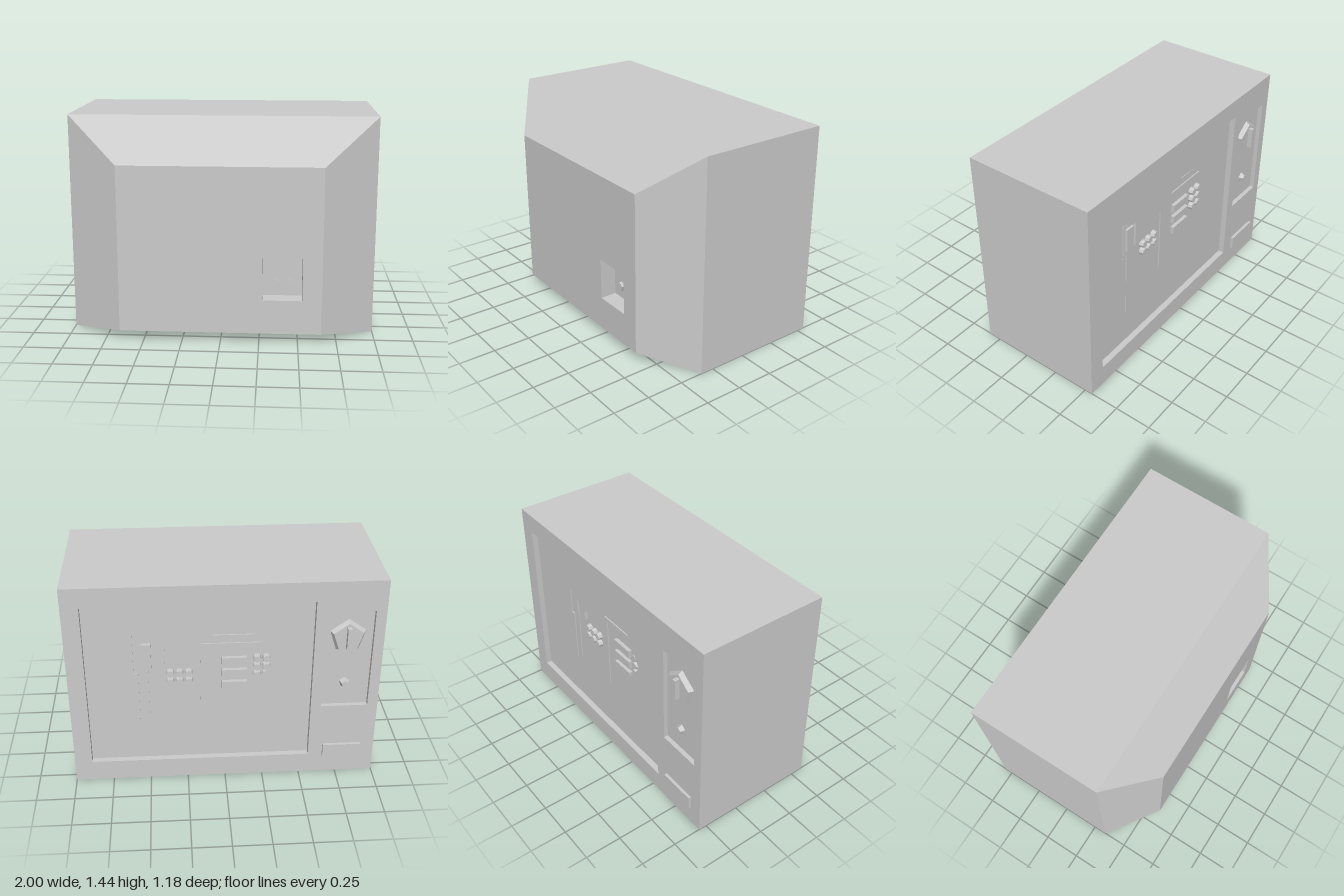
import * as THREE from 'three';

const mat = new THREE.MeshStandardMaterial({ color: 0xcccccc, flatShading: true });
const sheetMat = new THREE.MeshStandardMaterial({ color: 0xcccccc, flatShading: true, side: THREE.DoubleSide });

// Key depths, from the control side (-z) to the far side (+z)
const BACK = -0.555, MID = 0.34, FRONT = 0.59;
const GLASS = BACK + 0.04, BOARD = BACK + 0.1, PANEL = BACK + 0.03, SOCKET = FRONT - 0.11;

// Rectangles as [x0, x1, y0, y1]
const OUTER = [-1, 1, 0, 1.44];
const SMALL = [-0.655, 0.65, 0.065, 1.155];
const SCREEN = [-0.56, 0.887, 0.145, 1.307];
const CONTROLS = [-0.933, -0.628, 0.532, 1.233];
const JACKS = [0.27, 0.525, 0.29, 0.57];

const corners = ([x0, x1, y0, y1]) => [[x0, y0], [x1, y0], [x1, y1], [x0, y1]];

function add(parent, name, geometry, material = mat) {
  const mesh = new THREE.Mesh(geometry, material);
  mesh.name = name;
  parent.add(mesh);
  return mesh;
}

// Four walls joining rectangle a at depth za to rectangle b at depth zb
function bridge(a, za, b, zb) {
  const A = corners(a), B = corners(b), pos = [];
  for (let i = 0; i < 4; i++) {
    const j = (i + 1) % 4;
    const [p, q, r, s] = [[...A[i], za], [...A[j], za], [...B[j], zb], [...B[i], zb]];
    pos.push(...p, ...q, ...r, ...p, ...r, ...s);
  }
  const g = new THREE.BufferGeometry();
  g.setAttribute('position', new THREE.Float32BufferAttribute(pos, 3));
  g.computeVertexNormals();
  return g;
}

// Flat sheet with cut-outs, given as lists of [x, y] points
function sheet(outline, holes, z) {
  const toPoints = (list) => list.map(([x, y]) => new THREE.Vector2(x, y));
  const shape = new THREE.Shape(toPoints(outline));
  for (const h of holes) shape.holes.push(new THREE.Path(toPoints(h)));
  return new THREE.ShapeGeometry(shape).translate(0, 0, z);
}

function box(parent, name, [x0, x1, y0, y1], z0, z1) {
  const g = new THREE.BoxGeometry(x1 - x0, y1 - y0, z1 - z0);
  add(parent, name, g.translate((x0 + x1) / 2, (y0 + y1) / 2, (z0 + z1) / 2));
}

// Few-sided peg standing on z0 and ending at z1, one corner pointing up
function peg(parent, name, x, y, z0, z1, rBase, rTip, sides) {
  const g = new THREE.CylinderGeometry(rTip, rBase, Math.abs(z1 - z0), sides);
  if (z1 > z0) g.rotateY(Math.PI).rotateX(Math.PI / 2);
  else g.rotateX(-Math.PI / 2);
  add(parent, name, g.translate(x, y, (z0 + z1) / 2));
}

export function createModel() {
  const model = new THREE.Group();
  model.name = 'television';

  // Cabinet shell
  const cabinet = new THREE.Group();
  cabinet.name = 'cabinet';
  model.add(cabinet);
  add(cabinet, 'cabinetSides', bridge(OUTER, BACK, OUTER, MID));
  add(cabinet, 'taperedHousing', bridge(OUTER, MID, SMALL, FRONT));
  add(cabinet, 'screenFrame', sheet(corners(OUTER), [corners(SCREEN), corners(CONTROLS)], BACK), sheetMat);
  add(cabinet, 'housingPanel', sheet(corners(SMALL), [corners(JACKS)], FRONT), sheetMat);

  // Recesses: walls and floor
  add(cabinet, 'screenRecess', bridge(SCREEN, BOARD, SCREEN, BACK));
  add(cabinet, 'circuitBoard', sheet(corners(SCREEN), [], BOARD), sheetMat);
  add(cabinet, 'controlRecess', bridge(CONTROLS, PANEL, CONTROLS, BACK));
  add(cabinet, 'controlPanel', sheet(corners(CONTROLS), [], PANEL), sheetMat);
  add(cabinet, 'socketRecess', bridge(JACKS, FRONT, JACKS, SOCKET));
  add(cabinet, 'socketPanel', sheet(corners(JACKS), [], SOCKET), sheetMat);

  // Broken glass with a jagged hole
  const jagged = [
    [0.638, 1.113], [0.315, 0.947], [0.004, 1.113], [-0.17, 1.106], [-0.313, 0.863], [-0.109, 0.609],
    [-0.313, 0.349], [0.004, 0.407], [0.32, 0.554], [0.638, 0.352], [0.577, 0.6], [0.638, 0.777],
  ];
  add(model, 'brokenScreen', sheet(corners(SCREEN), [jagged], GLASS), sheetMat);

  // Electronics seen through the hole
  const circuit = new THREE.Group();
  circuit.name = 'circuitry';
  model.add(circuit);
  for (const x of [0.415, 0.502])
    for (const y of [0.907, 1.097])
      box(circuit, 'tallComponent', [x - 0.033, x + 0.033, y - 0.085, y + 0.085], BACK + 0.075, BOARD);
  for (const y of [0.67, 0.76, 0.85])
    box(circuit, 'chip', [-0.145, 0.02, y - 0.028, y + 0.028], BACK + 0.075, BOARD);
  const studs = (cx, cy, cols, rows) => {
    for (let c = 0; c < cols; c++)
      for (let r = 0; r < rows; r++)
        peg(circuit, 'stud', cx + (c - (cols - 1) / 2) * 0.06, cy + (r - (rows - 1) / 2) * 0.06,
          BOARD, BACK + 0.07, 0.029, 0.024, 8);
  };
  studs(0.29, 0.741, 3, 2);
  studs(-0.24, 0.805, 2, 3);

  // Raised circuit traces
  for (let i = 0; i < 2; i++) {
    const x = 0.585 - i * 0.065, y = 0.74 + i * 0.05;
    box(circuit, 'trace', [x - 0.03, x, 0.3, y], BOARD - 0.008, BOARD);
    box(circuit, 'trace', [x - 0.03, x + 0.03, y, y + 0.03], BOARD - 0.008, BOARD);
    box(circuit, 'trace', [x, x + 0.03, y + 0.03, 1.12], BOARD - 0.008, BOARD);
  }
  box(circuit, 'trace', [0.125, 0.155, 0.4, 0.95], BOARD - 0.008, BOARD);
  for (const y of [0.95, 1.01, 1.07])
    box(circuit, 'trace', [-0.4, 0.155, y, y + 0.03], BOARD - 0.008, BOARD);

  // Controls
  const controls = new THREE.Group();
  controls.name = 'controls';
  model.add(controls);
  peg(controls, 'channelDial', -0.773, 1.045, PANEL, BACK, 0.12, 0.1, 5);
  box(controls, 'dialGrip', [-0.786, -0.76, 0.975, 1.12], BACK - 0.032, BACK);
  peg(controls, 'smallKnob', -0.773, 0.7, PANEL, BACK, 0.036, 0.022, 5);
  box(controls, 'powerButton', [-0.912, -0.655, 0.135, 0.228], BACK - 0.02, BACK);

  // Sockets on the far side
  for (const x of [0.348, 0.443])
    peg(model, 'socketJack', x, 0.378, SOCKET, SOCKET + 0.02, 0.033, 0.033, 5);

  return model;
}
